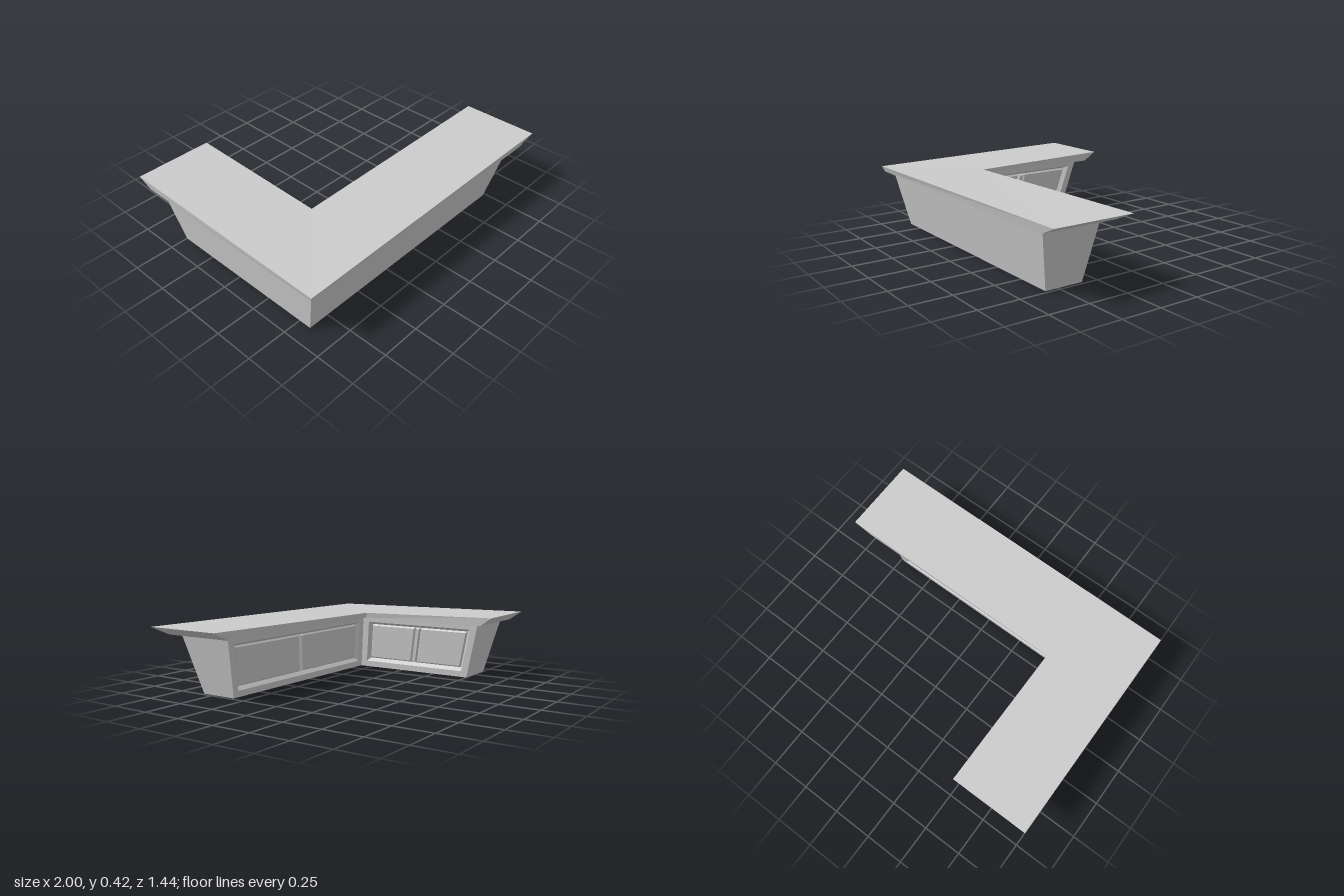
import * as THREE from 'three';

const V = (x, y, z) => new THREE.Vector3(x, y, z);

// Collects flat quads and triangles into one mesh
class Faces {
  constructor() { this.p = []; }
  tri(...pts) { pts.forEach(v => this.p.push(v.x, v.y, v.z)); }
  quad(a, b, c, d) { this.tri(a, b, c); this.tri(a, c, d); }
  mesh(name, material) {
    const g = new THREE.BufferGeometry();
    g.setAttribute('position', new THREE.Float32BufferAttribute(this.p, 3));
    g.computeVertexNormals();
    const m = new THREE.Mesh(g, material);
    m.name = name;
    return m;
  }
}

// Cap of an L outline, fanned from its inner corner (index 3)
function cap(f, o, up) {
  for (const k of [4, 5, 0, 1]) {
    const a = o[k], b = o[(k + 1) % 6];
    if (up) f.tri(o[3], a, b); else f.tri(o[3], b, a);
  }
}

// Slanted wall divided into a frame, a bevelled recess and two raised panels
function panelledWall(f, a, b, c, d) {
  const len = a.distanceTo(b), tall = a.distanceTo(d);
  const n = b.clone().sub(a).cross(d.clone().sub(a)).normalize();
  const at = (u, v, depth) => a.clone().lerp(b, u)
    .lerp(d.clone().lerp(c, u), v).addScaledVector(n, -depth);
  const corners = ([u0, v0, u1, v1], depth) =>
    [at(u0, v0, depth), at(u1, v0, depth), at(u1, v1, depth), at(u0, v1, depth)];
  const ring = (r0, d0, r1, d1) => {
    const o = corners(r0, d0), i = corners(r1, d1);
    for (let k = 0; k < 4; k++) {
      const j = (k + 1) % 4;
      f.quad(o[k], o[j], i[j], i[k]);
    }
  };
  const inset = (r, w) => [r[0] + w / len, r[1] + w / tall, r[2] - w / len, r[3] - w / tall];

  const side = 0.045 / len, floor = 0.025, half = 0.02 / len;
  const opening = [side, 0.11, 1 - side, 0.9];
  const recess = inset(opening, 0.02);
  ring([0, 0, 1, 1], 0, opening, 0);
  ring(opening, 0, recess, floor);

  const [u0, v0, u1, v1] = recess;
  for (const r of [[u0, v0, 0.5 - half, v1], [0.5 + half, v0, u1, v1]]) {
    const pane = inset(r, 0.01);
    ring(r, floor, pane, 0.015);
    f.quad(...corners(pane, 0.015));
  }
  // Centre post between the panels
  const post = [0.5 - half, v0, 0.5 + half, v1], face = inset(post, 0.008);
  ring(post, floor, face, 0.008);
  f.quad(...corners(face, 0.008));
}

// Six corners of an L, running counter-clockwise seen from above
const outline = (x0, x1, xi, z0, z1, zi, y, yEnd = y) => [
  V(x0, y, z1), V(x1, yEnd, z1), V(x1, yEnd, zi),
  V(xi, y, zi), V(xi, yEnd, z0), V(x0, yEnd, z0)];

export function createModel() {
  const group = new THREE.Group();
  group.name = 'cornerCounter';
  const material = new THREE.MeshStandardMaterial({ color: 0xcccccc, flatShading: true });

  // Body tapering towards the floor
  const foot = outline(-0.885, 0.73, -0.62, -0.5, 0.58, 0.34, 0);
  const head = outline(-0.94, 0.82, -0.57, -0.595, 0.66, 0.29, 0.366);
  const body = new Faces(), panels = new Faces();
  for (let i = 0; i < 6; i++) {
    const j = (i + 1) % 6;
    const wall = [foot[i], foot[j], head[j], head[i]];
    if (i === 2 || i === 3) panelledWall(panels, ...wall);
    else body.quad(...wall);
  }
  cap(body, foot, false);
  group.add(body.mesh('counterBody', material), panels.mesh('innerPanels', material));

  // Countertop with sloped undersides at the ends, rising slightly from the corner
  const under = outline(-0.99, 0.875, -0.51, -0.64, 0.705, 0.23, 0.366);
  const rim = outline(-1, 1, -0.5, -0.72, 0.72, 0.22, 0.402, 0.423);
  const top = new Faces();
  for (let i = 0; i < 6; i++) {
    const j = (i + 1) % 6;
    top.quad(under[i], under[j], rim[j], rim[i]);
  }
  cap(top, under, false);
  cap(top, rim, true);
  group.add(top.mesh('countertop', material));

  return group;
}
